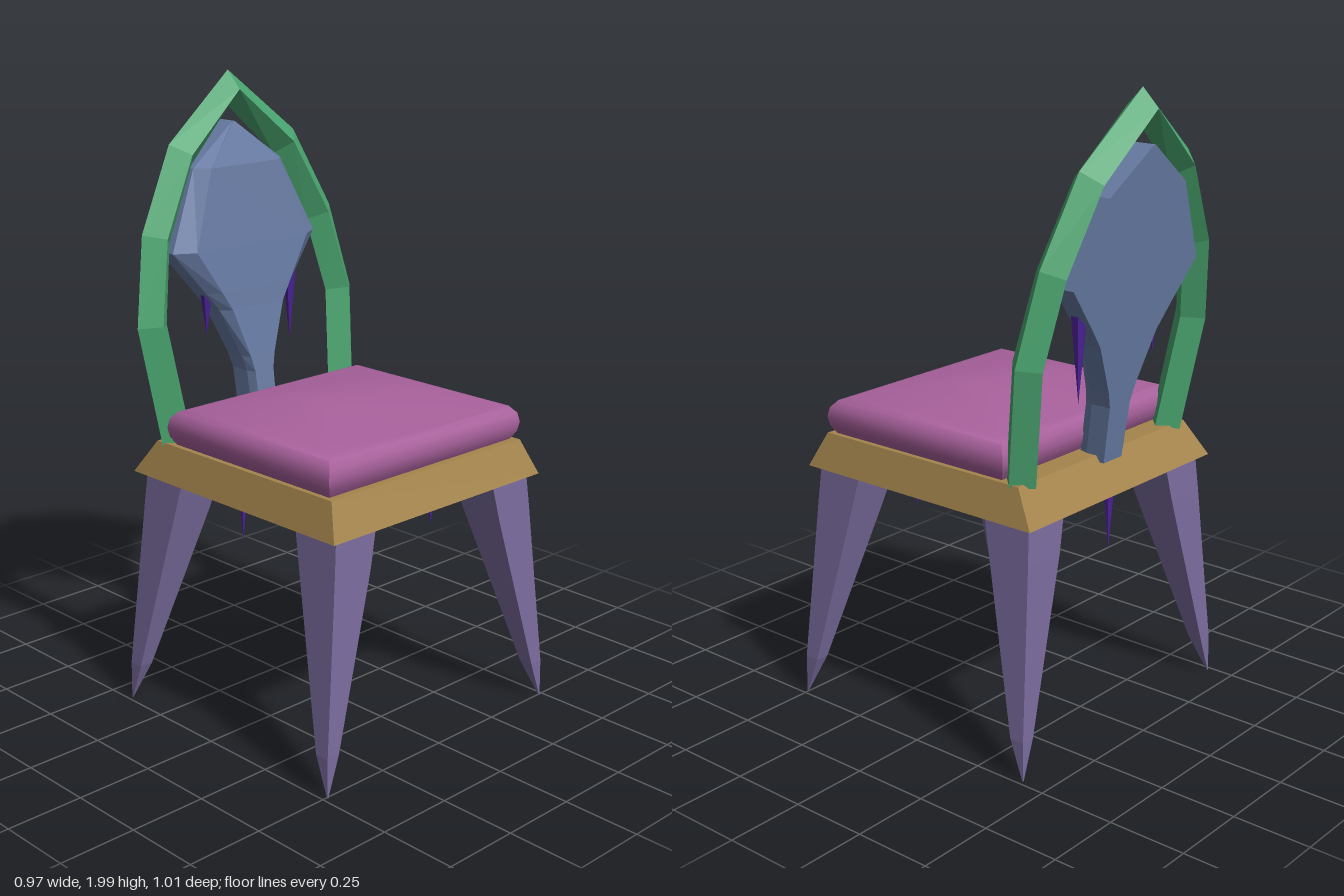
import * as THREE from 'three';
import { toCreasedNormals } from 'three/addons/utils/BufferGeometryUtils.js';

const mat = (name, color, flatShading = true) => {
  const m = new THREE.MeshStandardMaterial({ color, flatShading });
  m.name = name;
  return m;
};

// Skin a list of equal-length rings of [x, y, z], closed by a fan at both ends
function loft(rings) {
  const tris = [];
  const n = rings[0].length;
  for (let i = 0; i < rings.length - 1; i++) {
    for (let j = 0; j < n; j++) {
      const k = (j + 1) % n, a = rings[i], b = rings[i + 1];
      tris.push([a[j], a[k], b[k]], [a[j], b[k], b[j]]);
    }
  }
  const first = rings[0], last = rings[rings.length - 1];
  for (let j = 1; j < n - 1; j++) {
    tris.push([first[0], first[j + 1], first[j]], [last[0], last[j], last[j + 1]]);
  }
  // Turn every face outward by the sign of the enclosed volume
  const v = (p) => new THREE.Vector3(...p);
  const volume = tris.reduce((s, [a, b, c]) => s + v(a).dot(v(b).cross(v(c))), 0);
  const pos = tris.flatMap(([a, b, c]) => (volume < 0 ? [a, c, b] : [a, b, c])).flat();
  const g = new THREE.BufferGeometry();
  g.setAttribute('position', new THREE.Float32BufferAttribute(pos, 3));
  g.computeVertexNormals();
  return g;
}

// Horizontal rectangle as a ring
const rect = (x0, x1, z0, z1, y) => [[x0, y, z0], [x1, y, z0], [x1, y, z1], [x0, y, z1]];

export function createModel() {
  const group = new THREE.Group();
  const green = mat('green hoop', 0x4aa670);
  const slate = mat('slate blue', 0x687ca4);
  const mauve = mat('mauve legs', 0x7a6c9e);
  const pink = mat('plum cushion', 0xa8619c, false);
  const ochre = mat('ochre frame', 0xa4844c);
  const violet = mat('violet spikes', 0x4c2298);
  const add = (name, geometry, material) => {
    const mesh = new THREE.Mesh(geometry, material);
    mesh.name = name;
    group.add(mesh);
    return mesh;
  };

  // Seat frame: bevelled slab with a shallow bulging underside
  const cz = 0.045;
  add('seatFrame', loft([
    rect(-0.01, 0.01, cz - 0.01, cz + 0.01, 0.74),
    rect(-0.12, 0.12, cz - 0.12, cz + 0.12, 0.749),
    rect(-0.45, 0.45, -0.41, 0.495, 0.78),
    rect(-0.412, 0.412, -0.335, 0.445, 0.89),
  ]), ochre);

  // Cushion: puffy pad with rounded edge and low crown
  const pad = [[0.395, 0.89], [0.41, 0.915], [0.416, 0.945], [0.41, 0.975],
    [0.39, 0.998], [0.36, 1.007], [0.15, 1.05]];
  add('cushion', toCreasedNormals(loft(pad.map(([h, y]) =>
    rect(-h, h, 0.08 - h + 0.056, 0.08 + h - 0.056, y))), 1.0), pink);

  // Legs: square, splayed, tapering to a point at the outer corner
  const legRows = [ // y, outer x, inner x, outer and inner distance from the seat centre in z
    [0.79, 0.418, 0.255, 0.425, 0.255],
    [0.66, 0.431, 0.285, 0.433, 0.285],
    [0.13, 0.484, 0.438, 0.459, 0.41],
    [0.005, 0.485, 0.482, 0.46, 0.457],
  ];
  for (const sx of [1, -1]) {
    for (const sz of [1, -1]) {
      const name = (sz > 0 ? 'front' : 'back') + (sx > 0 ? 'Left' : 'Right') + 'Leg';
      add(name, loft(legRows.map(([y, xo, xi, zo, zi]) =>
        rect(sx * xi, sx * xo, cz + sz * zi, cz + sz * zo, y))), mauve);
    }
  }

  // Back hoop: diamond-section bar bent into a pointed arch
  const half = [[0.36, 0.885, -0.303], [0.4, 1.25, -0.36], [0.345, 1.51, -0.4],
    [0.217, 1.755, -0.428], [0, 1.942, -0.448]];
  const path = [...half, ...half.slice(0, -1).reverse().map(([x, y, z]) => [-x, y, z])];
  const hoop = path.map((p, i) => {
    const a = path[Math.max(i - 1, 0)], b = path[Math.min(i + 1, path.length - 1)];
    const tangent = new THREE.Vector3(b[0] - a[0], b[1] - a[1], b[2] - a[2]).normalize();
    const out = new THREE.Vector3(tangent.y, -tangent.x, 0).normalize();
    const fore = new THREE.Vector3().crossVectors(tangent, out);
    const centre = new THREE.Vector3(...p);
    return [[out, 0.057], [fore, 0.056], [out, -0.057], [fore, -0.056]]
      .map(([d, s]) => centre.clone().addScaledVector(d, s).toArray());
  });
  add('backHoop', loft(hoop), green);

  // Back splat: leaning shield on a narrow neck, front face raised from its rim
  const splatRows = [ // y, half width, front bulge
    [0.87, 0.045, 0.04], [1.05, 0.05, 0.04], [1.1, 0.065, 0.04], [1.26, 0.138, 0.042],
    [1.32, 0.185, 0.045], [1.46, 0.3, 0.05], [1.71, 0.183, 0.05], [1.84, 0.003, 0.015],
  ];
  add('backSplat', loft(splatRows.map(([y, w, f]) => {
    const z = -0.305 - (y - 0.87) * 0.135;
    return [[-w, y, z - 0.058], [w, y, z - 0.058], [w, y, z + 0.01],
      [w * 0.78, y, z + f], [-w * 0.78, y, z + f], [-w, y, z + 0.01]];
  })), slate);

  // Hanging spikes under the seat and under the splat
  const spikes = [ // x, z, top y, tip y, radius
    [-0.19, 0.2, 0.78, 0.485, 0.029],
    [-0.135, -0.25, 0.78, 0.505, 0.024],
    [0.177, -0.11, 0.78, 0.505, 0.027],
    [0.185, 0.28, 0.78, 0.615, 0.02],
    [-0.16, -0.385, 1.34, 1.175, 0.023],
    [0.2, -0.385, 1.38, 1.1, 0.027],
  ];
  spikes.forEach(([x, z, top, tip, r], i) => {
    const cone = new THREE.ConeGeometry(r, top - tip, 6).rotateX(Math.PI);
    add(i < 4 ? 'seatSpike' : 'splatSpike', cone, violet).position.set(x, (top + tip) / 2, z);
  });

  return group;
}
